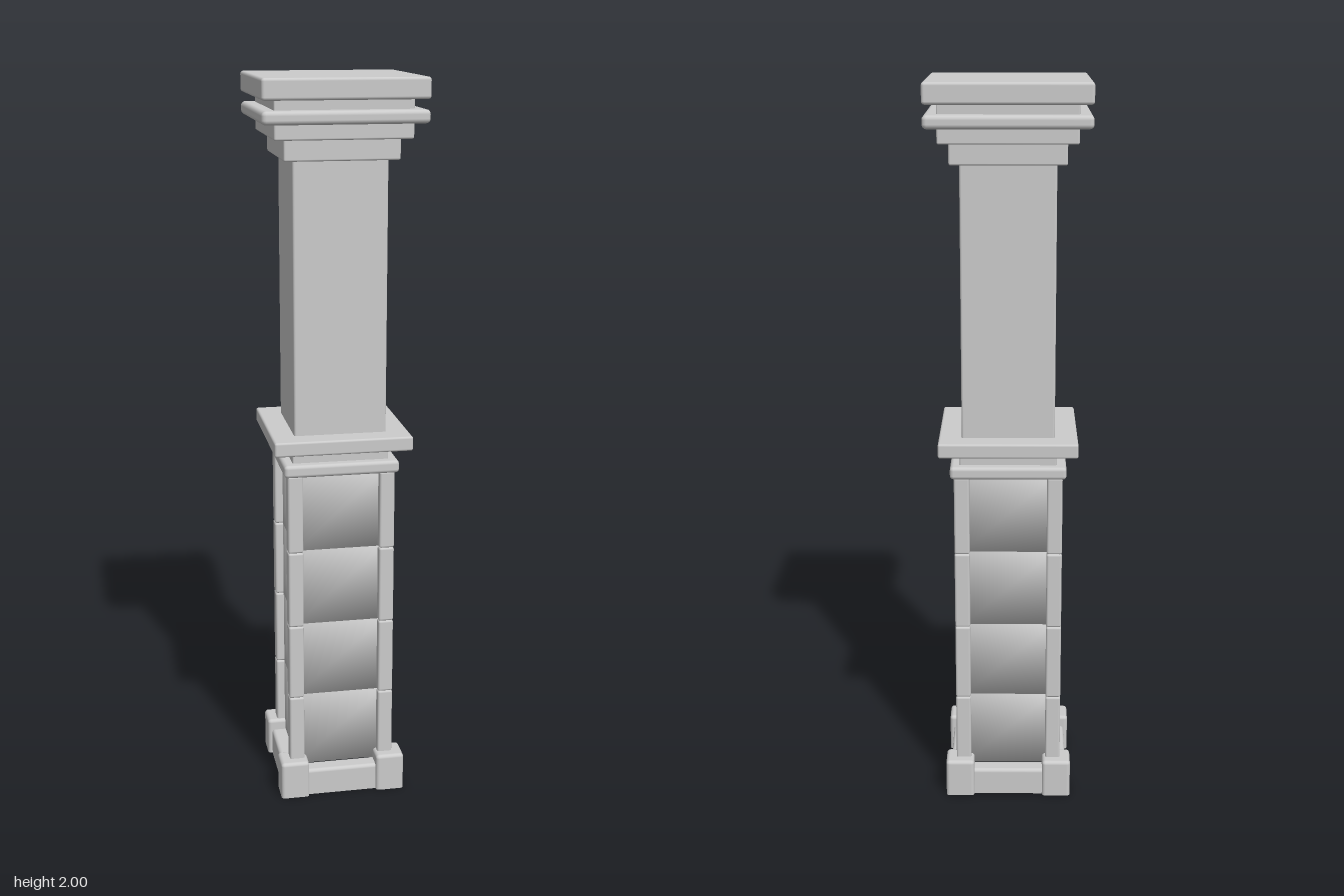
import * as THREE from 'three';
import { RoundedBoxGeometry } from 'three/addons/geometries/RoundedBoxGeometry.js';
import { mergeVertices } from 'three/addons/utils/BufferGeometryUtils.js';

const material = new THREE.MeshStandardMaterial({ color: 0xcccccc });
const openMaterial = new THREE.MeshStandardMaterial({ color: 0xcccccc, side: THREE.DoubleSide });

// Box with softened edges, placed by its vertical range
function block(name, width, depth, y0, y1, radius = 0.006, x = 0, z = 0) {
  const mesh = new THREE.Mesh(new RoundedBoxGeometry(width, y1 - y0, depth, 2, radius), material);
  mesh.name = name;
  mesh.position.set(x, (y0 + y1) / 2, z);
  return mesh;
}

// Box with normals shared across its edges, for the pillowy shading of the core
function softBox(name, width, y0, y1) {
  let geometry = new THREE.BoxGeometry(width, y1 - y0, width);
  geometry.deleteAttribute('normal');
  geometry.deleteAttribute('uv');
  geometry = mergeVertices(geometry);
  geometry.computeVertexNormals();
  const mesh = new THREE.Mesh(geometry, material);
  mesh.name = name;
  mesh.position.y = (y0 + y1) / 2;
  return mesh;
}

// Rounded box with its underside removed
function openBlock(name, width, depth, height, x, z) {
  const geometry = new RoundedBoxGeometry(width, height * 2, depth, 3, 0.01);
  const p = geometry.attributes.position;
  for (let i = 0; i < p.count; i++) if (p.getY(i) < 0) p.setY(i, 0);
  const source = geometry.index ? geometry.toNonIndexed() : geometry;
  const sp = source.attributes.position;
  const sn = source.attributes.normal;
  const positions = [], normals = [];
  for (let i = 0; i < sp.count; i += 3) {
    if (sp.getY(i) + sp.getY(i + 1) + sp.getY(i + 2) < 1e-6) continue;
    for (let k = i; k < i + 3; k++) {
      positions.push(sp.getX(k), sp.getY(k), sp.getZ(k));
      normals.push(sn.getX(k), sn.getY(k), sn.getZ(k));
    }
  }
  const open = new THREE.BufferGeometry();
  open.setAttribute('position', new THREE.Float32BufferAttribute(positions, 3));
  open.setAttribute('normal', new THREE.Float32BufferAttribute(normals, 3));
  const mesh = new THREE.Mesh(open, openMaterial);
  mesh.name = name;
  mesh.position.set(x, 0, z);
  return mesh;
}

export function createModel() {
  const model = new THREE.Group();
  model.name = 'column';
  const corners = [[1, 1], [1, -1], [-1, -1], [-1, 1]];

  // Base: four corner feet joined by low rails
  const base = new THREE.Group();
  base.name = 'base';
  for (const [sx, sz] of corners) {
    base.add(openBlock('foot', 0.08, 0.08, 0.108, sx * 0.137, sz * 0.137));
  }
  for (const s of [-1, 1]) {
    base.add(openBlock('baseRail', 0.21, 0.05, 0.077, 0, s * 0.14));
    base.add(openBlock('baseRail', 0.05, 0.21, 0.077, s * 0.14, 0));
  }
  model.add(base);

  // Pedestal: four stacked recessed sections framed by corner posts
  const pedestal = new THREE.Group();
  pedestal.name = 'pedestal';
  const levels = [0.08, 0.297, 0.513, 0.731, 0.952];
  for (let i = 0; i < 4; i++) {
    pedestal.add(softBox('recessedPanels', 0.25, levels[i], levels[i + 1]));
    for (const [sx, sz] of corners) {
      pedestal.add(block('cornerPost', 0.042, 0.042, levels[i], levels[i + 1], 0.006, sx * 0.127, sz * 0.127));
    }
  }
  model.add(pedestal);

  // Square mouldings and shaft: name, half width, bottom, top, edge radius
  const tiers = [
    ['collar', 0.158, 0.95, 0.985, 0.01],
    ['collarNeck', 0.132, 0.98, 1.025, 0.004],
    ['middleSlab', 0.188, 1.02, 1.06, 0.006],
    ['shaft', 0.126, 1.05, 1.80, 0.006],
    ['lowerCapitalStep', 0.152, 1.79, 1.85, 0.005],
    ['upperCapitalStep', 0.18, 1.845, 1.89, 0.005],
    ['capitalMoulding', 0.215, 1.885, 1.92, 0.012],
    ['capitalNeck', 0.18, 1.915, 1.95, 0.004],
    ['capSlab', 0.215, 1.945, 2.0, 0.008],
  ];
  for (const [name, half, y0, y1, radius] of tiers) {
    model.add(block(name, half * 2, half * 2, y0, y1, radius));
  }
  return model;
}
